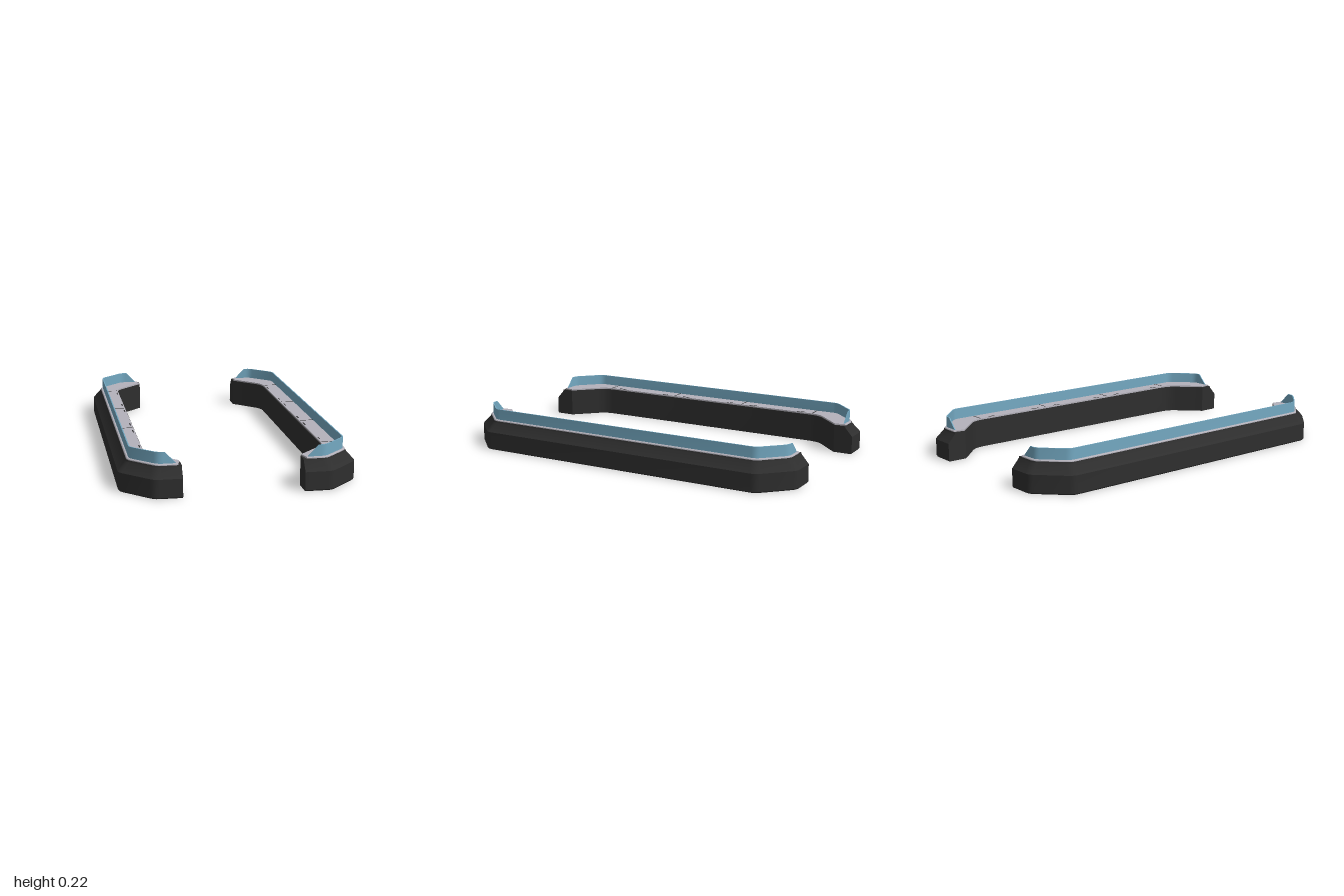
import * as THREE from 'three';
import { toCreasedNormals } from 'three/addons/utils/BufferGeometryUtils.js';

// Rounds the inner corners of an open [x, z] polyline.
function fillet(points, r) {
  const out = [];
  points.forEach((p, i) => {
    if (i === 0 || i === points.length - 1) return out.push(p);
    const v = new THREE.Vector2(...p);
    const toward = (q) => new THREE.Vector2(...q).sub(v).setLength(r).add(v);
    const curve = new THREE.QuadraticBezierCurve(toward(points[i - 1]), v, toward(points[i + 1]));
    curve.getPoints(3).forEach((c) => out.push([c.x, c.y]));
  });
  return out;
}

// Outer edge of the rail, moved inward by d, ending at x = endX.
function outerEdge(d, endX, r = 0.025) {
  const k = d * (Math.SQRT2 - 1);
  const half = [[0.612 - d, 0.84 - k], [0.45 - k, 1 - d], [endX, 1 - d]];
  const back = half.map(([x, z]) => [x, -z]).reverse();
  return fillet([...back, ...half], r);
}

// Inner edge of the rail, moved outward by d, running from front to back.
function innerEdge(d, endX) {
  const k = d * (Math.SQRT2 - 1);
  const x = 0.465 + d, z = 0.735 + k;
  const endZ = z + (x - endX);
  return fillet([[endX, endZ], [x, z], [x, -z], [endX, -endZ]], 0.05);
}

// Skins a stack of matching [x, z] loops at heights y and caps both ends.
function loft(levels, side) {
  const loops = levels.map(({ y, loop }) => {
    const pts = loop.map(([x, z]) => [x * side, y, z]);
    return side < 0 ? pts.reverse() : pts;
  });
  const n = loops[0].length;
  const index = [];
  for (let l = 0; l < loops.length - 1; l++) {
    for (let i = 0; i < n; i++) {
      const a = l * n + i, b = l * n + (i + 1) % n;
      index.push(a, a + n, b, b, a + n, b + n);
    }
  }
  const cap = (loop, base, up) => {
    const contour = loop.map(([x, , z]) => new THREE.Vector2(x, z));
    for (const [a, b, c] of THREE.ShapeUtils.triangulateShape(contour, [])) {
      index.push(base + a, base + (up ? c : b), base + (up ? b : c));
    }
  };
  cap(loops[0], 0, false);
  cap(loops[loops.length - 1], (loops.length - 1) * n, true);
  const geo = new THREE.BufferGeometry();
  geo.setAttribute('position', new THREE.Float32BufferAttribute(loops.flat(2), 3));
  geo.setIndex(index);
  return toCreasedNormals(geo, 0.5);
}

export function createModel() {
  const model = new THREE.Group();
  const black = new THREE.MeshStandardMaterial({ color: 0x2e2e2e });
  const grey = new THREE.MeshStandardMaterial({ color: 0xb4b2bb });
  const blue = new THREE.MeshStandardMaterial({ color: 0x74a9c2, side: THREE.DoubleSide });

  const add = (parent, name, geo, mat) => {
    const mesh = new THREE.Mesh(geo, mat);
    mesh.name = name;
    parent.add(mesh);
    return mesh;
  };

  for (const side of [1, -1]) {
    const rail = new THREE.Group();
    rail.name = side > 0 ? 'leftRail' : 'rightRail';
    model.add(rail);

    // Body with upright walls and a bevelled outer shoulder
    const body = [[0, 0.004], [0.006, 0], [0.1, 0], [0.148, 0.042], [0.156, 0.044]].map(([y, d]) => ({
      y, loop: [...outerEdge(d, 0.308), ...innerEdge(0, 0.308)],
    }));
    add(rail, 'body', loft(body, side), black);

    // Walkway surface
    const deck = [[0.15, 0.046], [0.16, 0.046], [0.164, 0.05]].map(([y, d]) => ({
      y, loop: [...outerEdge(d, 0.325), ...innerEdge(0.004, 0.312)],
    }));
    add(rail, 'deck', loft(deck, side), grey);

    // Thin glass screen along the outer edge, its ends sloping back
    const glass = [[0.16, 0.33], [0.223, 0.39]].map(([y, endX]) => ({
      y, loop: [...outerEdge(0.057, endX), ...outerEdge(0.063, endX).reverse()],
    }));
    add(rail, 'glassScreen', loft(glass, side), blue);

    // Deck seams, with slots beside them along the inner edge
    for (const z of [-0.69, -0.23, 0.23, 0.69]) {
      add(rail, 'deckSeam', new THREE.BoxGeometry(0.075, 0.002, 0.005), black)
        .position.set(side * 0.512, 0.164, z);
      for (const dz of [-0.077, 0.077]) {
        if (Math.abs(z + dz) > 0.7) continue;
        add(rail, 'deckSlot', new THREE.BoxGeometry(0.006, 0.002, 0.045), black)
          .position.set(side * 0.479, 0.164, z + dz);
      }
    }
  }
  return model;
}
